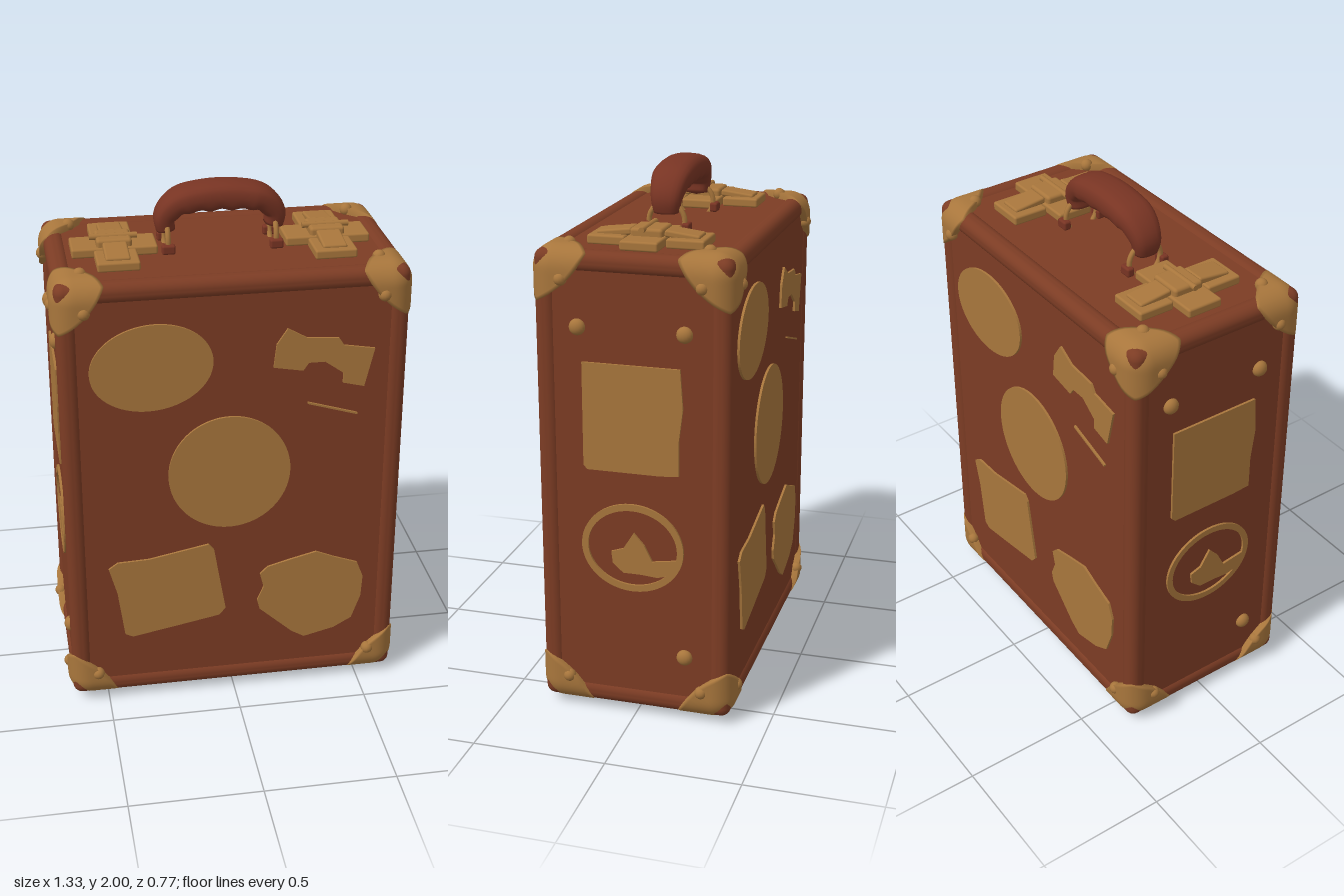
import * as THREE from 'three';
import { mergeVertices } from 'three/addons/utils/BufferGeometryUtils.js';
import { RoundedBoxGeometry } from 'three/addons/geometries/RoundedBoxGeometry.js';

const leather = new THREE.MeshStandardMaterial({ color: 0x7c3c24 });
leather.name = 'brown leather';
const grip = new THREE.MeshStandardMaterial({ color: 0x783423 });
grip.name = 'red-brown leather';
const brass = new THREE.MeshStandardMaterial({ color: 0xa8763c });
brass.name = 'tan brass';

// half extents and vertical range of the case
const HX = 0.64, HZ = 0.36, Y0 = 0.03, Y1 = 1.76, YC = (Y0 + Y1) / 2, HY = (Y1 - Y0) / 2;

function add(parent, name, geometry, material, x = 0, y = 0, z = 0) {
  const mesh = new THREE.Mesh(geometry, material);
  mesh.name = name;
  mesh.position.set(x, y, z);
  parent.add(mesh);
  return mesh;
}

const rbox = (w, h, d, r = 0.008) => new RoundedBoxGeometry(w, h, d, 3, r);

// three rounded quarter patches meeting at a corner, with a turned-in rim
function cornerGeometry(sx, sy, sz) {
  const R = 0.085, NR = 16, NT = 16, L = [0.19, 0.2, 0.21];
  const pos = [], idx = [];
  for (let f = 0; f < 3; f++) {
    const ia = (f + 1) % 3, ib = (f + 2) % 3, base = pos.length / 3;
    for (let i = 0; i <= NR + 1; i++) {
      const r = Math.min(i / NR, 1);
      for (let j = 0; j <= NT; j++) {
        const t = (j / NT) * Math.PI / 2;
        const p = [0, 0, 0];
        p[ia] = -L[ia] * r * Math.pow(Math.max(Math.cos(t), 0), 1.3);
        p[ib] = -L[ib] * r * Math.pow(Math.max(Math.sin(t), 0), 1.3);
        const q = p.map((v) => Math.min(v, -R));
        const d = p.map((v, k) => v - q[k]);
        const len = Math.hypot(...d), reach = i > NR ? R - 0.035 : R;
        const o = q.map((v, k) => v + (d[k] / len) * reach);
        pos.push(o[0] * sx, o[1] * sy, o[2] * sz);
        if (i <= NR && j < NT) {
          const a = base + i * (NT + 1) + j, b = a + 1, c = a + NT + 1, e = c + 1;
          if (sx * sy * sz < 0) idx.push(a, c, b, b, c, e);
          else idx.push(a, b, c, b, e, c);
        }
      }
    }
  }
  // the two in-face axes point inwards, which keeps their handedness
  for (let k = 0; k < idx.length; k += 3) [idx[k + 1], idx[k + 2]] = [idx[k + 2], idx[k + 1]];
  let g = new THREE.BufferGeometry();
  g.setAttribute('position', new THREE.Float32BufferAttribute(pos, 3));
  g.setIndex(idx);
  g = mergeVertices(g, 1e-4);
  g.computeVertexNormals();
  return g;
}

// oval sections swept along an arch in the xy plane
function gripGeometry() {
  const path = new THREE.CatmullRomCurve3([[-0.2, 1.815], [-0.203, 1.875], [-0.155, 1.925], [-0.07, 1.943],
    [0.07, 1.943], [0.155, 1.925], [0.203, 1.875], [0.2, 1.815]].map(([x, y]) => new THREE.Vector3(x, y, 0)));
  const N = 64, M = 20, pos = [], idx = [];
  for (let i = 0; i <= N; i++) {
    const t = i / N, p = path.getPointAt(t), d = path.getTangentAt(t);
    const mid = Math.sin(Math.PI * t), end = i === 0 || i === N ? 0.001 : 1;
    const hw = (0.034 + 0.019 * mid) * end, hz = (0.045 + 0.03 * Math.min(1, mid * 1.3)) * end;
    for (let j = 0; j < M; j++) {
      const a = (j / M) * Math.PI * 2, c = Math.cos(a), s = Math.sin(a);
      const bump = c < 0 ? 1 + 0.09 * mid * Math.cos(t * Math.PI * 14) : 1;
      const w = Math.sign(c) * Math.pow(Math.abs(c), 0.75) * hw * bump;
      pos.push(p.x - d.y * w, p.y + d.x * w, Math.sign(s) * Math.pow(Math.abs(s), 0.75) * hz);
      if (i < N) {
        const k = i * M + j, l = i * M + (j + 1) % M;
        idx.push(k, k + M, l, l, k + M, l + M);
      }
    }
  }
  // sections run from normal towards +z, so the wall is wound outwards here
  for (let k = 0; k < idx.length; k += 3) [idx[k + 1], idx[k + 2]] = [idx[k + 2], idx[k + 1]];
  const g = new THREE.BufferGeometry();
  g.setAttribute('position', new THREE.Float32BufferAttribute(pos, 3));
  g.setIndex(idx);
  g.computeVertexNormals();
  return g;
}

// flat plate from an outline; thin label laid on a panel
const outline = (pts) => new THREE.Shape(pts.map(([x, y]) => new THREE.Vector2(x, y)));
const plate = (shape) => new THREE.ExtrudeGeometry(shape, { depth: 0.009, bevelEnabled: false, curveSegments: 40 });
function oval(x, y, rx, ry, rot = 0) {
  const s = new THREE.Shape();
  s.absellipse(x, y, rx, ry, 0, Math.PI * 2, false, rot);
  return s;
}

// everything on one broad face (+z) and one narrow face (+x)
function createHalf() {
  const half = new THREE.Group();
  const front = new THREE.Group();
  front.name = 'broadFaceLabels';
  front.position.z = HZ - 0.01;
  half.add(front);
  add(front, 'ovalLabel', plate(oval(-0.305, 1.43, 0.225, 0.168, 0.12)), brass);
  add(front, 'roundLabel', plate(oval(-0.02, 0.98, 0.23, 0.233)), brass);
  add(front, 'squareLabel', plate(outline([[-0.485, 0.6], [-0.45, 0.625], [-0.33, 0.63], [-0.1, 0.675], [-0.08, 0.65],
    [-0.035, 0.38], [-0.06, 0.35], [-0.24, 0.315], [-0.4, 0.285], [-0.43, 0.3], [-0.455, 0.49]])), brass);
  add(front, 'hexagonLabel', plate(outline([[0.1, 0.52], [0.13, 0.55], [0.22, 0.575], [0.32, 0.6], [0.39, 0.57],
    [0.485, 0.535], [0.51, 0.47], [0.505, 0.38], [0.47, 0.28], [0.4, 0.24], [0.28, 0.21], [0.23, 0.24],
    [0.1, 0.36], [0.09, 0.4], [0.115, 0.46]])), brass);
  add(front, 'tornLabel', plate(outline([[0.14, 1.4], [0.15, 1.49], [0.19, 1.55], [0.26, 1.51], [0.38, 1.5], [0.4, 1.47],
    [0.515, 1.45], [0.48, 1.3], [0.4, 1.32], [0.4, 1.36], [0.33, 1.41], [0.27, 1.41], [0.25, 1.38]])), brass);
  add(front, 'tornLabelEdge', plate(outline([[0.27, 1.243], [0.46, 1.185], [0.46, 1.192], [0.27, 1.25]])), brass);

  const side = new THREE.Group();
  side.name = 'narrowFaceLabels';
  side.rotation.y = Math.PI / 2;
  side.position.x = HX - 0.01;
  half.add(side);
  add(side, 'tallLabel', plate(outline([[-0.185, 1.365], [0.175, 1.365], [0.185, 1.22], [0.17, 1.1], [0.17, 0.97],
    [0.1, 0.965], [-0.17, 0.965], [-0.185, 0.98]])), brass);
  const ring = oval(-0.005, 0.675, 0.192, 0.17);
  ring.holes.push(oval(-0.005, 0.675, 0.168, 0.145));
  add(side, 'ringLabel', plate(ring), brass);
  add(side, 'ringLabelCentre', plate(outline([[-0.085, 0.655], [-0.04, 0.67], [0, 0.735], [0.04, 0.69], [0.07, 0.63],
    [0.165, 0.645], [0.155, 0.59], [0.09, 0.57], [0.03, 0.575], [-0.04, 0.575], [-0.08, 0.61]])), brass);
  for (const [x, y] of [[-0.2, 1.49], [0.19, 1.49], [0.19, 0.26]])
    add(side, 'sideStud', new THREE.SphereGeometry(0.03, 16, 12), brass, x, y, 0.003).scale.z = 0.75;
  return half;
}

// hinged clasp on the top panel
function createClasp(sign) {
  const clasp = new THREE.Group();
  clasp.name = sign > 0 ? 'leftClasp' : 'rightClasp';
  clasp.position.set(sign * 0.395, Y1, 0);
  add(clasp, 'claspBase', rbox(0.315, 0.035, 0.14), brass, 0, 0.008, 0);
  add(clasp, 'claspHump', rbox(0.13, 0.05, 0.12, 0.012), brass, 0, 0.028, 0);
  add(clasp, 'claspPin', new THREE.CylinderGeometry(0.011, 0.011, 0.175, 12), brass, 0, 0.05, 0.01).rotation.z = Math.PI / 2;
  for (const s of [-1, 1]) {
    add(clasp, 'claspPlate', rbox(0.155, 0.035, 0.14), brass, 0, 0.006, s * 0.145);
    add(clasp, 'claspTongue', rbox(0.09, 0.025, 0.13), brass, 0, 0.028, s * 0.125).rotation.x = s * 0.12;
  }
  return clasp;
}

export function createModel() {
  const model = new THREE.Group();
  model.name = 'suitcase';

  // slightly sunken panels framed by rounded edge rails
  add(model, 'casePanels', rbox(2 * HX - 0.02, 2 * HY - 0.02, 2 * HZ - 0.02, 0.03), leather, 0, YC, 0);
  const T = 0.08, h = T / 2;
  for (const a of [-1, 1]) for (const b of [-1, 1]) {
    add(model, 'lengthRail', rbox(2 * HX, T, T, 0.036), leather, 0, YC + a * (HY - h), b * (HZ - h));
    add(model, 'uprightRail', rbox(T, 2 * HY, T, 0.036), leather, a * (HX - h), YC, b * (HZ - h));
    add(model, 'depthRail', rbox(T, T, 2 * HZ, 0.036), leather, a * (HX - h), YC + b * (HY - h), 0);
  }

  // corner guards with a rivet on each face
  const rivet = new THREE.SphereGeometry(0.024, 14, 10);
  for (const sx of [-1, 1]) for (const sy of [-1, 1]) for (const sz of [-1, 1]) {
    const guard = new THREE.Group();
    guard.name = 'cornerGuard';
    guard.position.set(sx * (HX + 0.015), YC + sy * (HY + 0.015), sz * (HZ + 0.015));
    add(guard, 'guardShell', cornerGeometry(sx, sy, sz), brass);
    for (const [x, y, z] of [[0.115, 0.115, 0.012], [0.115, 0.009, 0.12], [0.012, 0.115, 0.12]])
      add(guard, 'guardRivet', rivet, brass, -sx * x, -sy * y, -sz * z);
    model.add(guard);
  }

  // labels and studs repeat on the opposite faces
  for (const [name, turn] of [['frontAndLeftTrim', 0], ['backAndRightTrim', Math.PI]]) {
    const half = createHalf();
    half.name = name;
    half.rotation.y = turn;
    model.add(half);
  }

  // handle with its wire loops and clasps
  add(model, 'handleGrip', gripGeometry(), grip);
  for (const s of [-1, 1]) {
    model.add(createClasp(s));
    add(model, 'handleLoop', new THREE.TorusGeometry(0.068, 0.01, 8, 28), brass, s * 0.2, 1.79, 0).rotation.y = Math.PI / 2;
    for (const z of [-0.075, 0.075])
      add(model, 'handleLoopFoot', rbox(0.05, 0.035, 0.03), grip, s * 0.2, 1.77, z);
  }
  return model;
}
